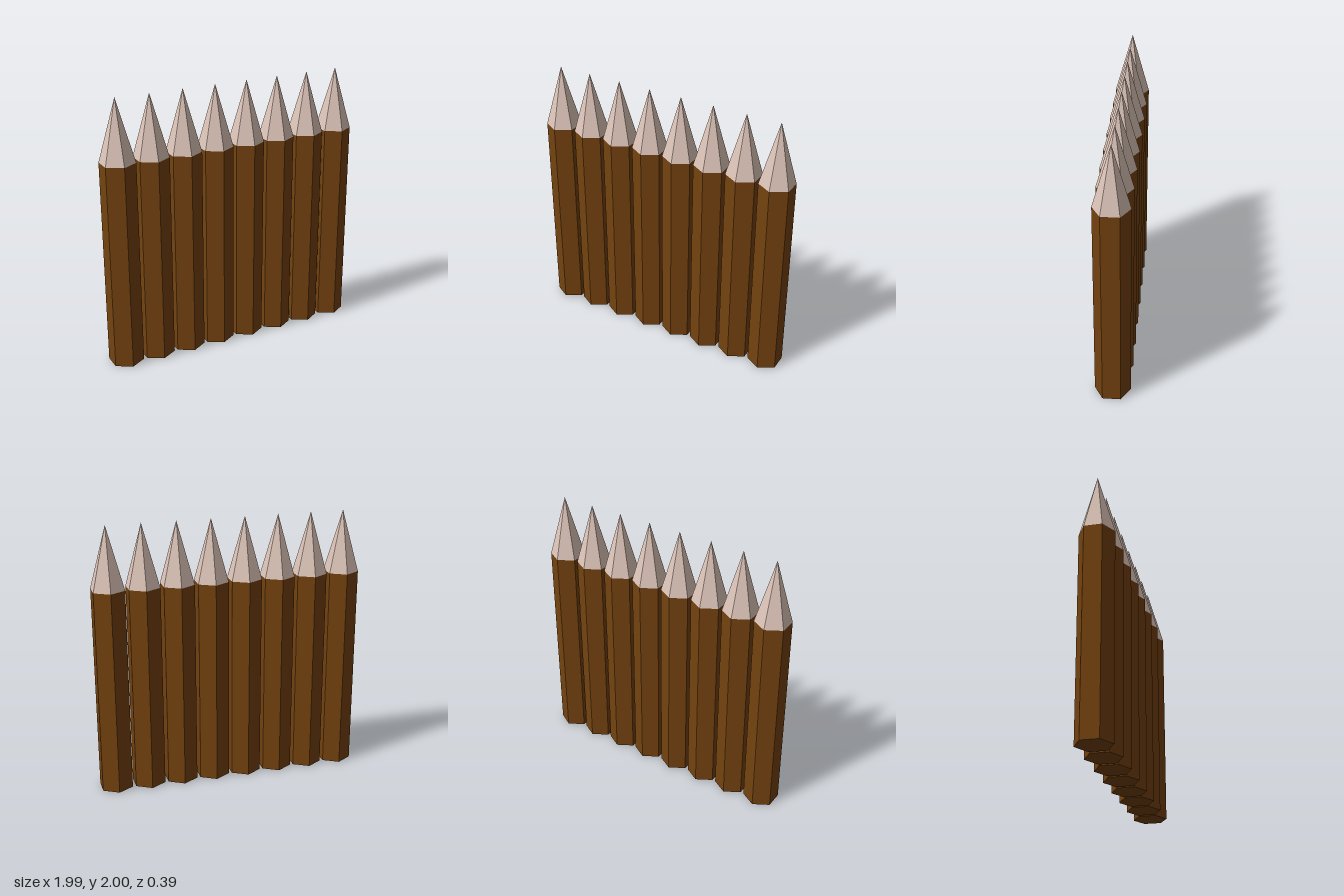
import * as THREE from 'three';

const COUNT = 8;
const RADIUS = 0.13;
const TRUNK_HEIGHT = 1.54;
const TIP_HEIGHT = 0.46;
const SPACING = 0.251;
const YAW = -0.072; // the row runs slightly askew

function material(name, color) {
  const m = new THREE.MeshStandardMaterial({ color, flatShading: true });
  m.name = name;
  return m;
}

export function createModel() {
  const bark = material('brown bark', 0x74420f);
  const cutWood = material('pale cut wood', 0xdcc4b8);

  // Six-sided trunk and sharpened tip, standing on y = 0
  const trunkGeometry = new THREE.CylinderGeometry(RADIUS, RADIUS, TRUNK_HEIGHT, 6);
  trunkGeometry.translate(0, TRUNK_HEIGHT / 2, 0);
  const tipGeometry = new THREE.ConeGeometry(RADIUS, TIP_HEIGHT, 6, 1, true);
  tipGeometry.translate(0, TRUNK_HEIGHT + TIP_HEIGHT / 2, 0);

  const palisade = new THREE.Group();
  palisade.name = 'palisade';

  // Row of identical stakes
  for (let i = 0; i < COUNT; i++) {
    const stake = new THREE.Group();
    stake.name = `stake${i + 1}`;
    const trunk = new THREE.Mesh(trunkGeometry, bark);
    trunk.name = 'trunk';
    const tip = new THREE.Mesh(tipGeometry, cutWood);
    tip.name = 'sharpenedTip';
    stake.add(trunk, tip);
    stake.position.x = (i - (COUNT - 1) / 2) * SPACING;
    palisade.add(stake);
  }
  palisade.rotation.y = YAW;

  const model = new THREE.Group();
  model.name = 'stakeWall';
  model.add(palisade);
  return model;
}
